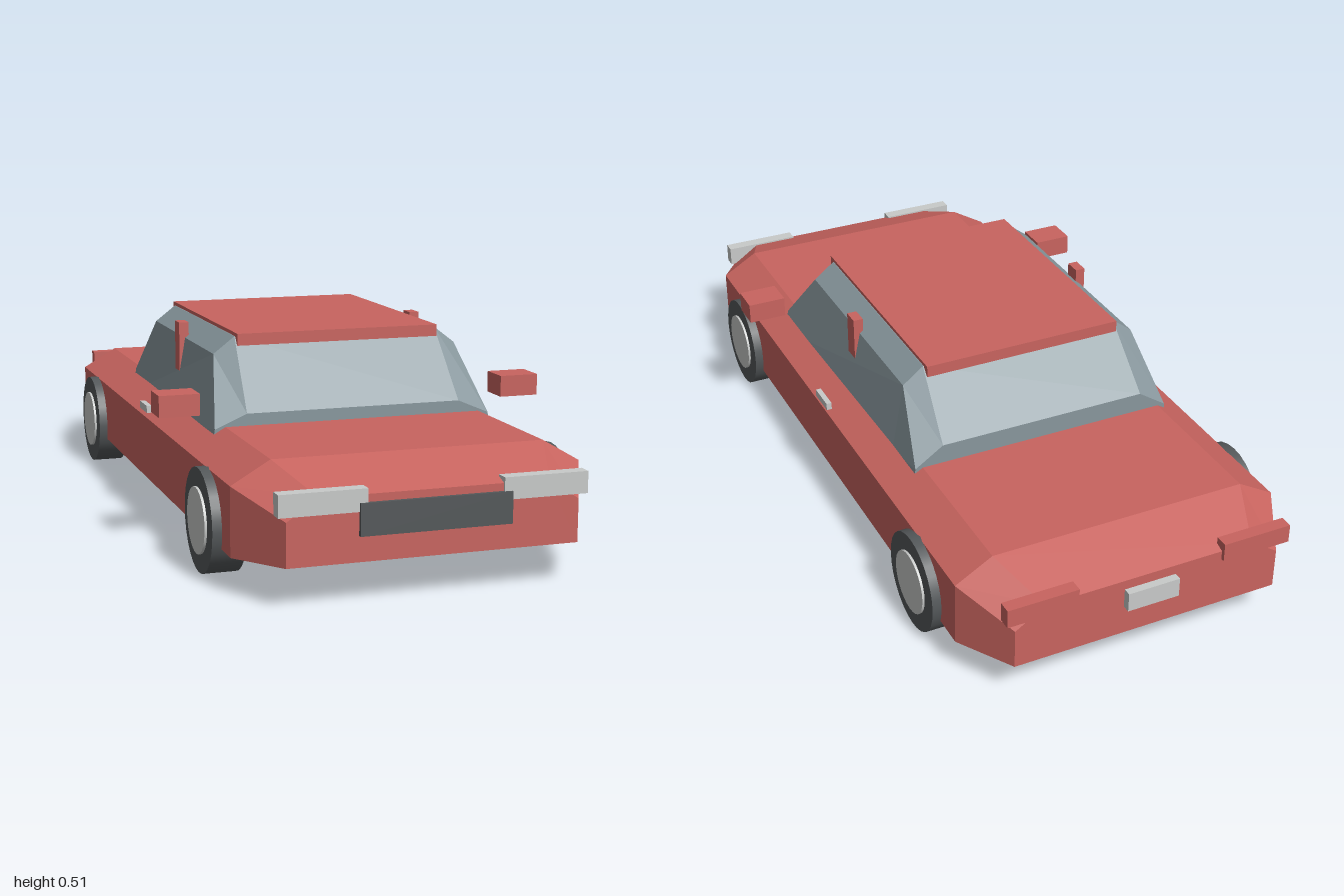
import * as THREE from 'three';

const paint = (name, color) => new THREE.MeshStandardMaterial({ name, color });

// Hull through mirrored cross-sections, listed front to back: { z, half: [[x, y], ...] from bottom to top }
function loft(sections) {
  const rings = sections.map(({ z, half }) => [
    ...half.map(([x, y]) => [x, y, z]),
    ...half.slice().reverse().map(([x, y]) => [-x, y, z]),
  ]);
  const n = rings[0].length;
  const pos = [];
  const tri = (a, b, c) => pos.push(...a, ...b, ...c);
  for (let s = 0; s < rings.length - 1; s++) {
    const a = rings[s], b = rings[s + 1];
    for (let i = 0; i < n; i++) {
      const j = (i + 1) % n;
      tri(a[i], b[i], b[j]);
      tri(a[i], b[j], a[j]);
    }
  }
  const front = rings[0], back = rings[rings.length - 1];
  for (let i = 1; i < n - 1; i++) {
    tri(front[0], front[i], front[i + 1]);
    tri(back[0], back[i + 1], back[i]);
  }
  const geo = new THREE.BufferGeometry();
  geo.setAttribute('position', new THREE.Float32BufferAttribute(pos, 3));
  geo.computeVertexNormals();
  return geo;
}

export function createModel() {
  const red = paint('bodyRed', 0xc8645f);
  const glass = paint('windowGlass', 0x88979d);
  const dark = paint('darkRubber', 0x54585a);
  const silver = paint('lightSilver', 0xc8cac9);

  const car = new THREE.Group();
  car.name = 'car';

  const add = (name, geo, mat) => {
    const mesh = new THREE.Mesh(geo, mat);
    mesh.name = name;
    car.add(mesh);
    return mesh;
  };
  // Box given by its limits on each axis
  const box = (name, mat, [x0, x1], [y0, y1], [z0, z1]) =>
    add(name, new THREE.BoxGeometry(x1 - x0, y1 - y0, z1 - z0), mat)
      .position.set((x0 + x1) / 2, (y0 + y1) / 2, (z0 + z1) / 2);
  // The same box on both sides
  const pair = (name, mat, [x0, x1], y, z) => {
    box(name + 'Left', mat, [x0, x1], y, z);
    box(name + 'Right', mat, [-x1, -x0], y, z);
  };

  // Body with tapered nose and tail
  const endHalf = [[0.35, 0.097], [0.35, 0.2], [0.275, 0.25]];
  const midHalf = [[0.43, 0.085], [0.43, 0.25], [0.335, 0.305]];
  add('body', loft([
    { z: 0.99, half: endHalf },
    { z: 0.83, half: midHalf },
    { z: -0.83, half: midHalf },
    { z: -0.98, half: endHalf },
  ]), red);

  // Glass cabin
  add('cabin', loft([
    { z: 0.458, half: [[0.365, 0.28], [0.362, 0.3], [0.28, 0.335]] },
    { z: 0.315, half: [[0.365, 0.28], [0.325, 0.463], [0.27, 0.505]] },
    { z: -0.298, half: [[0.358, 0.28], [0.325, 0.463], [0.27, 0.505]] },
    { z: -0.437, half: [[0.358, 0.28], [0.355, 0.305], [0.28, 0.355]] },
  ]), glass);
  box('roof', red, [-0.268, 0.268], [0.484, 0.514], [-0.32, 0.337]);
  pair('doorPillar', red, [0.315, 0.341], [0.3, 0.504], [-0.013, 0.032]);

  // Side fittings
  pair('mirror', red, [0.398, 0.5], [0.337, 0.391], [0.375, 0.456]);
  pair('doorHandle', silver, [0.421, 0.435], [0.268, 0.287], [-0.036, 0.043]);

  // Front and rear fittings
  pair('headlight', silver, [0.163, 0.37], [0.212, 0.264], [0.962, 0.995]);
  box('grille', dark, [-0.182, 0.182], [0.157, 0.232], [0.97, 1]);
  pair('tailLight', red, [0.193, 0.375], [0.227, 0.275], [-0.99, -0.957]);
  box('rearPlate', silver, [-0.068, 0.068], [0.175, 0.225], [-1, -0.975]);

  // Wheels
  const tyre = new THREE.CylinderGeometry(0.126, 0.126, 0.082, 28).rotateZ(Math.PI / 2);
  const hub = new THREE.CylinderGeometry(0.08, 0.08, 0.07, 28).rotateZ(Math.PI / 2);
  for (const [end, z] of [['front', 0.637], ['rear', -0.628]]) {
    for (const [side, s] of [['Left', 1], ['Right', -1]]) {
      add(`${end}Tyre${side}`, tyre, dark).position.set(s * 0.412, 0.126, z);
      add(`${end}Hub${side}`, hub, silver).position.set(s * 0.424, 0.126, z);
    }
  }
  return car;
}
